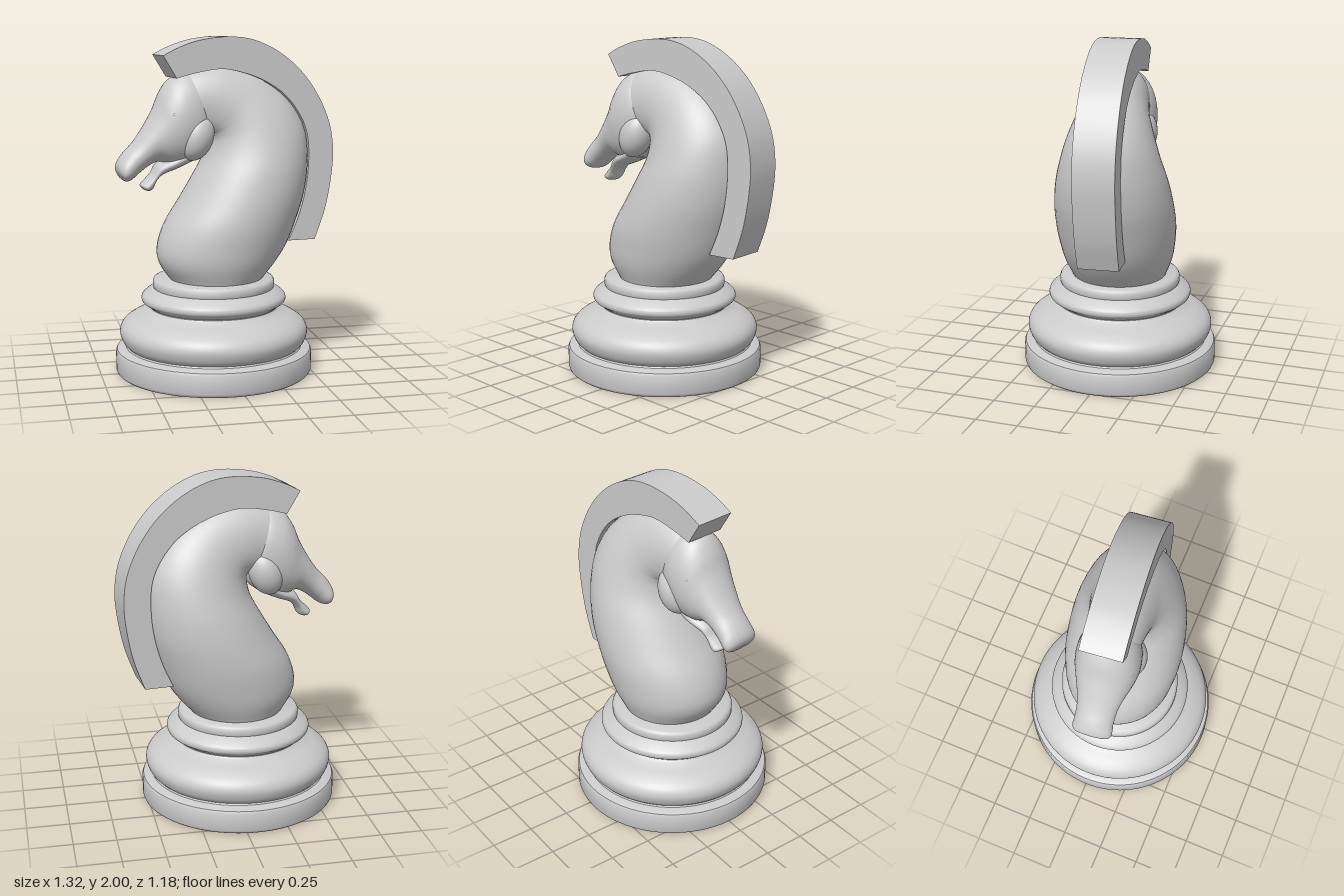
import * as THREE from 'three';
import { toCreasedNormals } from 'three/addons/utils/BufferGeometryUtils.js';

const material = new THREE.MeshStandardMaterial({ color: 0xcccccc });
const AXIS = -0.065; // x of the turning axis of the base

function addMesh(parent, name, geometry) {
  const mesh = new THREE.Mesh(geometry, material);
  mesh.name = name;
  parent.add(mesh);
  return mesh;
}

// Smooth loft of ellipses. Each section: [outerX, outerY, innerX, innerY, halfThickness]
function loft(sections, steps = 64, sides = 48) {
  const curve = (f) => new THREE.CatmullRomCurve3(sections.map(f), false, 'catmullrom', 0.5);
  const centres = curve(([a, b, c, d, t]) => new THREE.Vector3((a + c) / 2, (b + d) / 2, t));
  const radii = curve(([a, b, c, d]) => new THREE.Vector3((a - c) / 2, (b - d) / 2, 0));
  const positions = [], index = [];
  const ring = (u, scale) => {
    const c = centres.getPoint(u), r = radii.getPoint(u);
    for (let j = 0; j < sides; j++) {
      const a = (j / sides) * Math.PI * 2, k = Math.cos(a) * scale;
      positions.push(c.x + r.x * k, c.y + r.y * k, c.z * Math.sin(a) * scale);
    }
  };
  // Collapsed rings close both ends
  ring(0, 0.001);
  for (let i = 0; i <= steps; i++) ring(i / steps, 1);
  ring(1, 0.001);
  for (let i = 0; i < steps + 2; i++) {
    for (let j = 0; j < sides; j++) {
      const a = i * sides + j, b = i * sides + ((j + 1) % sides);
      index.push(a, a + sides, b, b, a + sides, b + sides);
    }
  }
  const g = new THREE.BufferGeometry();
  g.setAttribute('position', new THREE.Float32BufferAttribute(positions, 3));
  g.setIndex(index);
  g.computeVertexNormals();
  return g;
}

const vectors = (list) => list.map(([x, y]) => new THREE.Vector2(x, y));

function createBase() {
  const profile = new THREE.SplineCurve(vectors([
    [0.525, 0.165], [0.55, 0.195], [0.565, 0.25], [0.545, 0.3], [0.49, 0.34], [0.42, 0.37], [0.383, 0.395],
    [0.405, 0.415], [0.43, 0.435], [0.43, 0.465], [0.4, 0.492], [0.362, 0.515],
  ])).getPoints(55);
  const points = [
    ...vectors([[0, 0], [0.575, 0], [0.585, 0.008], [0.59, 0.02], [0.59, 0.128], [0.583, 0.143], [0.565, 0.15], [0.53, 0.156]]),
    ...profile,
    ...vectors([[0.365, 0.522], [0.365, 0.552], [0.358, 0.565], [0.345, 0.572], [0, 0.572]]),
  ];
  return toCreasedNormals(new THREE.LatheGeometry(points, 96), 0.6);
}

function createMane() {
  const shape = new THREE.Shape();
  shape.moveTo(-0.4, 1.895);
  shape.splineThru(vectors([
    [-0.3, 1.943], [-0.17, 1.983], [0, 2], [0.15, 1.98], [0.3, 1.912], [0.44, 1.8], [0.55, 1.655],
    [0.625, 1.49], [0.652, 1.33], [0.643, 1.17], [0.605, 0.97], [0.54, 0.785],
  ]));
  shape.lineTo(0.37, 0.785);
  shape.splineThru(vectors([
    [0.43, 0.92], [0.475, 1.08], [0.495, 1.25], [0.485, 1.42], [0.43, 1.55], [0.34, 1.66],
    [0.22, 1.74], [0.09, 1.79], [-0.05, 1.815], [-0.2, 1.795], [-0.32, 1.765],
  ]));
  shape.closePath();
  const g = new THREE.ExtrudeGeometry(shape, { depth: 0.24, bevelEnabled: false, curveSegments: 5 });
  g.translate(0, 0, -0.12);
  return toCreasedNormals(g, 0.5);
}

export function createModel() {
  const model = new THREE.Group();
  model.name = 'chessKnight';
  addMesh(model, 'base', createBase()).position.x = AXIS;

  // The horse is turned slightly on its base
  const turn = new THREE.Group();
  turn.name = 'horse';
  turn.position.x = AXIS;
  turn.rotation.y = 0.107;
  model.add(turn);
  const horse = new THREE.Group();
  horse.name = 'horseParts';
  horse.position.x = -AXIS;
  turn.add(horse);

  addMesh(horse, 'neck', loft([
    [0.22, 0.56, -0.325, 0.56, 0.28],
    [0.315, 0.67, -0.395, 0.67, 0.322],
    [0.385, 0.78, -0.405, 0.77, 0.342],
    [0.44, 0.92, -0.36, 0.9, 0.355],
    [0.49, 1.08, -0.27, 1.04, 0.348],
    [0.512, 1.25, -0.19, 1.17, 0.325],
    [0.503, 1.42, -0.125, 1.29, 0.285],
    [0.45, 1.55, -0.105, 1.38, 0.25],
    [0.36, 1.66, -0.12, 1.42, 0.22],
    [0.24, 1.748, -0.15, 1.42, 0.195],
    [0.1, 1.807, -0.18, 1.41, 0.178],
    [-0.05, 1.833, -0.2, 1.4, 0.165],
    [-0.2, 1.81, -0.25, 1.4, 0.15],
    [-0.29, 1.76, -0.29, 1.45, 0.12],
  ], 90));

  addMesh(horse, 'head', loft([
    [-0.1, 1.72, -0.105, 1.44, 0.1],
    [-0.22, 1.795, -0.115, 1.355, 0.16],
    [-0.325, 1.765, -0.165, 1.305, 0.183],
    [-0.387, 1.69, -0.24, 1.26, 0.18],
    [-0.43, 1.59, -0.33, 1.255, 0.158],
    [-0.487, 1.49, -0.4, 1.28, 0.133],
    [-0.55, 1.4, -0.46, 1.262, 0.115],
    [-0.61, 1.337, -0.52, 1.22, 0.112],
    [-0.645, 1.285, -0.568, 1.182, 0.115],
    [-0.652, 1.245, -0.598, 1.172, 0.1],
    [-0.64, 1.21, -0.615, 1.178, 0.06],
  ]));

  addMesh(horse, 'lowerJaw', loft([
    [-0.28, 1.35, -0.2, 1.28, 0.12],
    [-0.36, 1.3, -0.29, 1.24, 0.11],
    [-0.415, 1.265, -0.38, 1.205, 0.088],
    [-0.445, 1.215, -0.42, 1.17, 0.075],
    [-0.485, 1.175, -0.44, 1.125, 0.072],
    [-0.51, 1.15, -0.465, 1.11, 0.065],
    [-0.51, 1.135, -0.485, 1.115, 0.035],
  ], 40));

  // Cheeks and eyes, mirrored
  for (const [side, s] of [['left', 1], ['right', -1]]) {
    const cheek = addMesh(horse, side + 'Cheek', new THREE.SphereGeometry(1, 40, 28));
    cheek.scale.set(0.1, 0.14, 0.1);
    cheek.position.set(-0.2, 1.425, s * 0.1);
    cheek.rotation.z = -0.35;

    const eye = new THREE.Group();
    eye.name = side + 'Eye';
    eye.position.set(-0.325, 1.58, s * 0.155);
    eye.rotation.set(-s * 0.35, -s * 0.2, -0.6);
    horse.add(eye);
    addMesh(eye, 'eyelid', new THREE.TorusGeometry(0.026, 0.007, 10, 32)).scale.set(0.85, 1.1, 1);
    addMesh(eye, 'eyeball', new THREE.SphereGeometry(0.024, 20, 14)).scale.set(0.85, 1.1, 0.4);
  }

  addMesh(horse, 'mane', createMane());
  return model;
}
